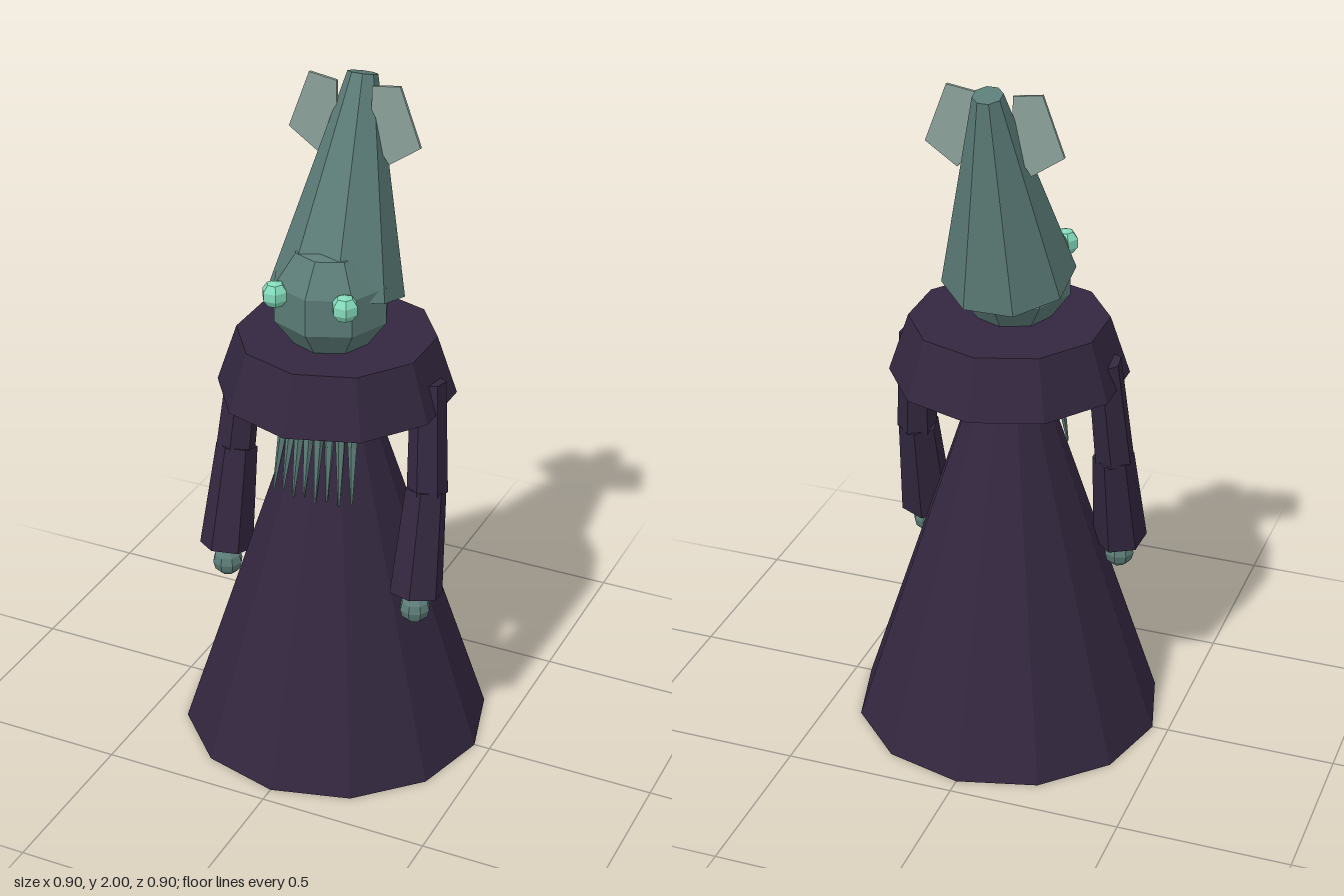
import * as THREE from 'three';

const V = (x, y, z) => new THREE.Vector3(x, y, z);
const UP = V(0, 1, 0);

// Faceted normals without touching material settings
function facet(geometry) {
  const g = geometry.index ? geometry.toNonIndexed() : geometry;
  g.computeVertexNormals();
  return g;
}

// Tapered prism running from point a to point b
function taper(a, b, ra, rb, sides, twist = 0) {
  const dir = b.clone().sub(a);
  const g = new THREE.CylinderGeometry(rb, ra, dir.length(), sides);
  g.rotateY(twist);
  g.applyQuaternion(new THREE.Quaternion().setFromUnitVectors(UP, dir.normalize()));
  const c = a.clone().add(b).multiplyScalar(0.5);
  return facet(g.translate(c.x, c.y, c.z));
}

function ball(x, y, z, r, w, h, twist = 0) {
  return facet(new THREE.SphereGeometry(r, w, h).rotateY(twist).translate(x, y, z));
}

export function createModel() {
  const model = new THREE.Group();
  model.name = 'robedSquidFigure';

  const paint = (name, color) => {
    const m = new THREE.MeshStandardMaterial({ color });
    m.name = name;
    return m;
  };
  const cloth = paint('darkPurpleCloth', 0x33273f);
  const skin = paint('greyTealSkin', 0x5b7b76);
  const finSkin = paint('paleFin', 0x8ba199);
  const glow = paint('mintEye', 0x84dabb);

  const add = (name, geometry, material, parent = model) => {
    const mesh = new THREE.Mesh(geometry, material);
    mesh.name = name;
    parent.add(mesh);
    return mesh;
  };

  // Robe and shoulder mantle
  add('robe', taper(V(0, 0, 0), V(0, 1.2, 0), 0.452, 0.06, 12), cloth);
  add('collar', taper(V(0, 1.11, 0), V(0, 1.28, 0), 0.34, 0.283, 10, Math.PI), cloth);

  // Head and swept-back pointed crown
  add('head', ball(0, 1.41, 0.035, 0.175, 8, 5), skin);
  add('crown', taper(V(0, 1.41, -0.005), V(0, 1.988, -0.167), 0.188, 0.042, 8, Math.PI / 8), skin);

  // Fin outline, for the left side
  const finOutline = [[0.05, 1.83], [0.105, 1.757], [0.197, 1.82], [0.135, 1.987], [0.053, 1.975]];

  for (const s of [1, -1]) {
    const side = s > 0 ? 'left' : 'right';

    add(side + 'Eye', ball(s * 0.105, 1.45, 0.172, 0.039, 6, 5), glow);

    const shape = new THREE.Shape(finOutline.map(([x, y]) => new THREE.Vector2(s * x, y)));
    const fin = new THREE.ExtrudeGeometry(shape, { depth: 0.009, bevelEnabled: false });
    add(side + 'Fin', facet(fin.translate(0, 0, -0.12)), finSkin);

    // Sleeve in two flared pieces, with a round hand
    const arm = new THREE.Group();
    arm.name = side + 'Arm';
    model.add(arm);
    add('upperSleeve', taper(V(s * 0.28, 1.185, 0), V(s * 0.302, 0.86, 0.045), 0.05, 0.058, 6), cloth, arm);
    add('lowerSleeve', taper(V(s * 0.298, 0.87, 0.045), V(s * 0.303, 0.565, 0.115), 0.06, 0.078, 6), cloth, arm);
    add('hand', ball(s * 0.3, 0.515, 0.115, 0.045, 8, 6), skin, arm);
  }

  // Beard of hanging tentacles
  const beard = new THREE.Group();
  beard.name = 'tentacles';
  model.add(beard);
  const count = 8;
  for (let i = 0; i < count; i++) {
    const t = (i / (count - 1)) * 2 - 1;
    const top = V(t * 0.095, 1.27, 0.125 - 0.03 * t * t);
    const mid = V(t * 0.108, 1.0, 0.155 - 0.03 * t * t);
    const tip = V(t * 0.122, 0.825 + 0.012 * (i % 2), 0.182 - 0.02 * t * t);
    add('tentacleRoot', taper(top, mid, 0.022, 0.014, 5), skin, beard);
    add('tentacleTip', taper(mid, tip, 0.014, 0.003, 5), skin, beard);
  }

  return model;
}
